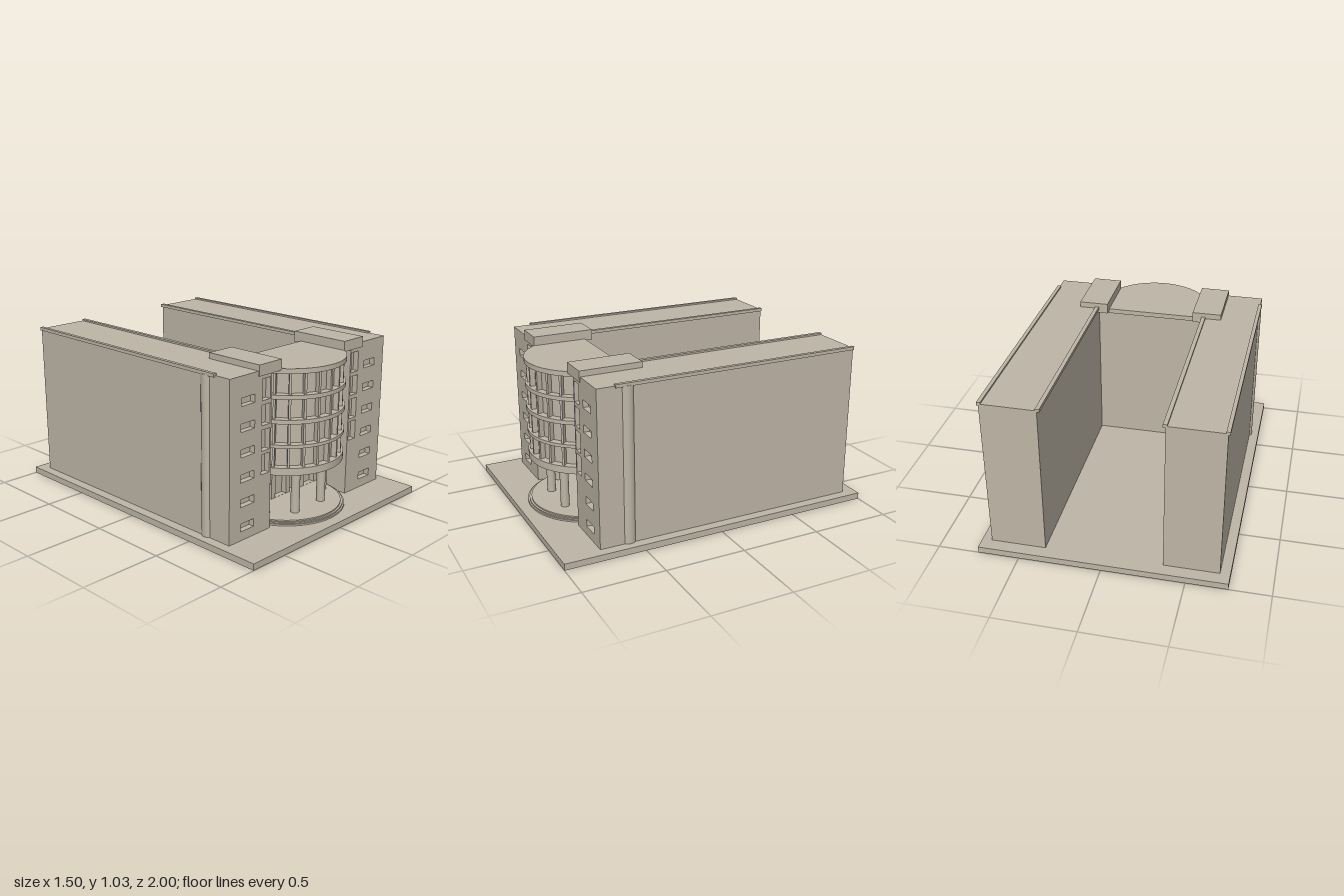
import * as THREE from 'three';

const stone = new THREE.MeshStandardMaterial({ color: 0xbfb6a7 });
stone.name = 'stone';

function add(parent, name, geometry) {
  const mesh = new THREE.Mesh(geometry, stone);
  mesh.name = name;
  parent.add(mesh);
  return mesh;
}

// Box given by its limits on each axis
function box(parent, name, x0, x1, y0, y1, z0, z1) {
  const g = new THREE.BoxGeometry(x1 - x0, y1 - y0, z1 - z0);
  g.translate((x0 + x1) / 2, (y0 + y1) / 2, (z0 + z1) / 2);
  return add(parent, name, g);
}

// Upright panel in x/y, pierced by rectangles [x0, x1, y0, y1]
function panel(parent, name, [x0, x1, y0, y1], holes, z0, z1) {
  const trace = (path, a, b, c, d) =>
    path.moveTo(a, c).lineTo(b, c).lineTo(b, d).lineTo(a, d).closePath();
  const shape = trace(new THREE.Shape(), x0, x1, y0, y1);
  for (const [a, b, c, d] of holes) shape.holes.push(trace(new THREE.Path(), a, b, c, d));
  const g = new THREE.ExtrudeGeometry(shape, { depth: z1 - z0, bevelEnabled: false });
  g.translate(0, 0, z0);
  return add(parent, name, g);
}

const BAY_Z = 0.555; // centre of the round bay
const BAY_R = 0.355;

// Slab with a semicircular front and a straight back
function bowSlab(parent, name, r, y0, y1, back) {
  const s = new THREE.Shape();
  s.moveTo(-r, back);
  s.lineTo(r, back);
  s.lineTo(r, BAY_Z);
  s.absarc(0, BAY_Z, r, 0, Math.PI, false);
  s.closePath();
  const g = new THREE.ExtrudeGeometry(s, { depth: y1 - y0, bevelEnabled: false, curveSegments: 48 });
  g.rotateX(Math.PI / 2);
  g.translate(0, y1, 0);
  return add(parent, name, g);
}

function column(parent, name, x, z, r, y0, y1) {
  const g = new THREE.CylinderGeometry(r, r, y1 - y0, 24);
  g.translate(x, (y0 + y1) / 2, z);
  return add(parent, name, g);
}

export function createModel() {
  const model = new THREE.Group();
  model.name = 'building';
  box(model, 'basePlate', -0.75, 0.75, 0, 0.04, -1, 1);

  const floors = [[0.39, 0.51], [0.53, 0.655], [0.68, 0.8], [0.825, 0.95]];

  // Two long wings with windowed front walls
  for (const side of [-1, 1]) {
    const wing = new THREE.Group();
    wing.name = side > 0 ? 'leftWing' : 'rightWing';
    model.add(wing);
    const span = (a, b) => (side > 0 ? [a, b] : [-b, -a]);
    const wall = span(0.355, 0.69);
    box(wing, 'wingBody', ...wall, 0.04, 1, -0.92, 0.725);

    const windows = [];
    for (let i = 0; i < 6; i++) {
      const y = 0.095 + i * 0.147;
      windows.push([...span(0.492, 0.6), y, y + 0.047]);
    }
    for (const [y0, y1] of floors) windows.push([...span(0.367, 0.433), y0, y1]);
    panel(wing, 'frontWall', [...wall, 0.04, 1], windows, 0.725, 0.76);

    // Roof rails, roof block and half-sunk side pillar
    box(wing, 'innerRail', ...span(0.34, 0.365), 0.99, 1.01, -0.92, 0.4);
    box(wing, 'outerRail', ...span(0.677, 0.7), 0.99, 1.01, -0.92, 0.65);
    box(wing, 'roofBlock', ...span(0.282, 0.465), 0.97, 1.035, 0.38, 0.765);
    column(wing, 'sidePillar', side * 0.657, 0.575, 0.047, 0.04, 0.995);
  }

  // Entrance: rounded steps, door wall and columns
  const entrance = new THREE.Group();
  entrance.name = 'entrance';
  model.add(entrance);
  [0.375, 0.365, 0.352].forEach((r, i) =>
    bowSlab(entrance, 'step', r, 0.04, 0.05 + i * 0.008, 0.5));
  box(entrance, 'backWall', -0.355, 0.355, 0.04, 0.97, 0.45, 0.5);
  const doors = [-0.27, -0.135, 0, 0.135, 0.27].map(x => [x - 0.05, x + 0.05, 0.067, 0.31]);
  panel(entrance, 'doorWall', [-0.355, 0.355, 0.04, 0.36], doors, 0.5, 0.535);
  for (const side of [-1, 1]) {
    column(entrance, 'column', side * 0.12, 0.752, 0.027, 0.06, 0.35);
    column(entrance, 'column', side * 0.267, 0.65, 0.025, 0.06, 0.35);
  }

  // Round bay: recessed core, floor bands and upright fins
  const bay = new THREE.Group();
  bay.name = 'roundBay';
  model.add(bay);
  bowSlab(bay, 'core', 0.31, 0.36, 0.96, 0.46);
  const bands = [[0.345, 0.39], [0.51, 0.53], [0.655, 0.68], [0.8, 0.825], [0.95, 0.98]];
  bands.forEach(([y0, y1], i) =>
    bowSlab(bay, i === 4 ? 'roof' : 'floorBand', BAY_R, y0, y1, i === 4 ? 0.43 : 0.46));
  for (let i = -6; i <= 6; i++) {
    const g = new THREE.BoxGeometry(0.014, 0.58, 0.045);
    g.translate(0, 0.67, 0.32);
    g.rotateY((i * Math.PI) / 12);
    g.translate(0, 0, BAY_Z);
    add(bay, 'fin', g);
  }
  return model;
}
